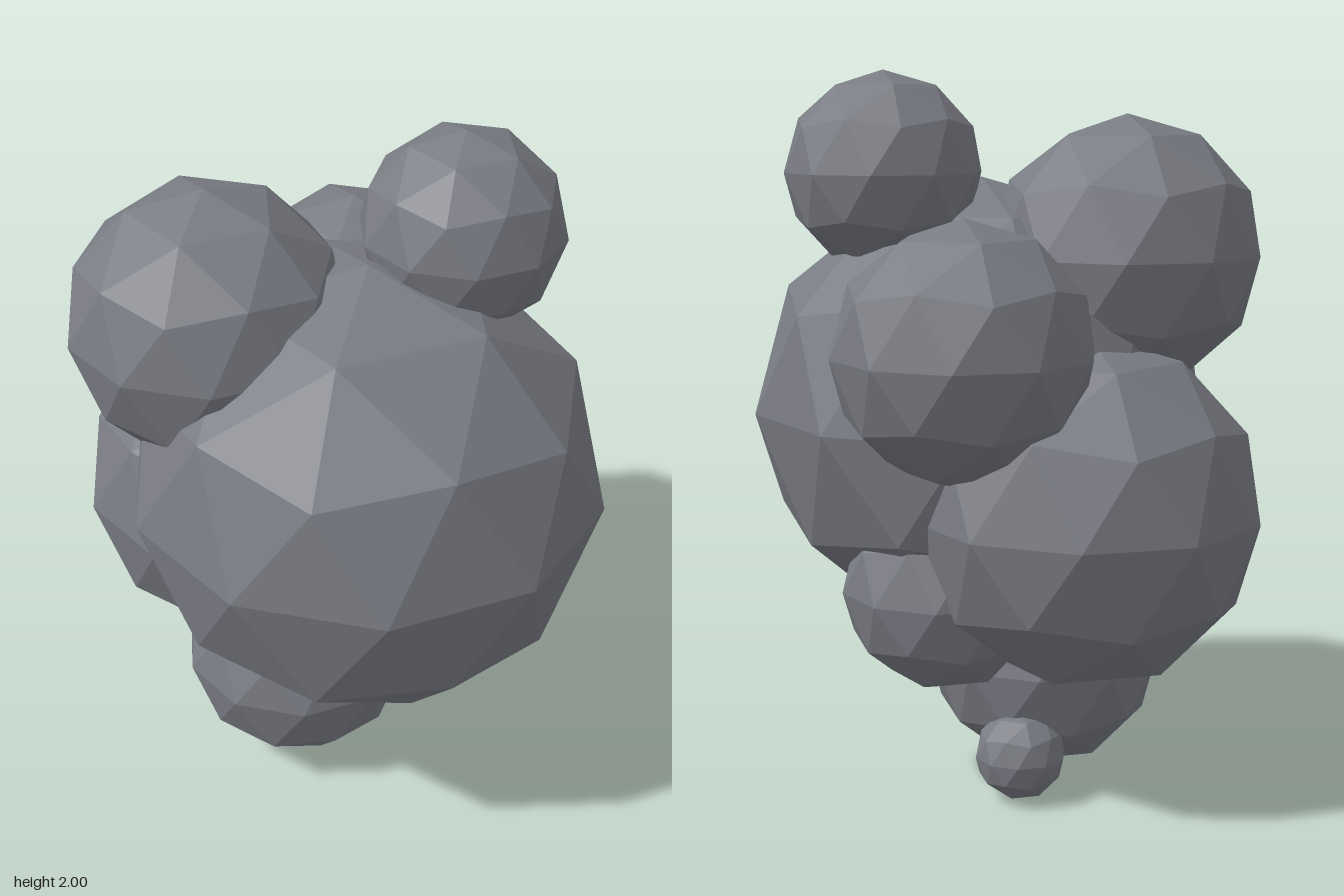
import * as THREE from 'three';

// Faceted ball: subdivided icosahedron with a corner at the top and an upper corner towards +x
function ballGeometry(radius) {
  const golden = (1 + Math.sqrt(5)) / 2;
  return new THREE.IcosahedronGeometry(radius, 1).rotateZ(-Math.atan(1 / golden));
}

export function createModel() {
  const group = new THREE.Group();
  group.name = 'boulderCluster';

  const stone = new THREE.MeshStandardMaterial({ color: 0x7a7c84, flatShading: true });
  stone.name = 'stoneGrey';

  // name, radius, centre x, y, z
  const balls = [
    ['mainBall', 0.655, 0.147, 1.05, 0.065],
    ['rightBall', 0.485, -0.31, 0.82, -0.04],
    ['upperFrontBall', 0.382, -0.245, 1.5, 0.224],
    ['topBall', 0.277, 0.27, 1.723, -0.205],
    ['backBall', 0.353, -0.165, 1.27, -0.375],
    ['bottomBall', 0.336, -0.07, 0.361, 0.085],
    ['lowerBackBall', 0.29, 0.03, 0.59, -0.23],
    ['smallestBall', 0.127, -0.18, 0.13, -0.16],
  ];

  for (const [name, radius, x, y, z] of balls) {
    const ball = new THREE.Mesh(ballGeometry(radius), stone);
    ball.name = name;
    ball.position.set(x, y, z);
    group.add(ball);
  }
  return group;
}
